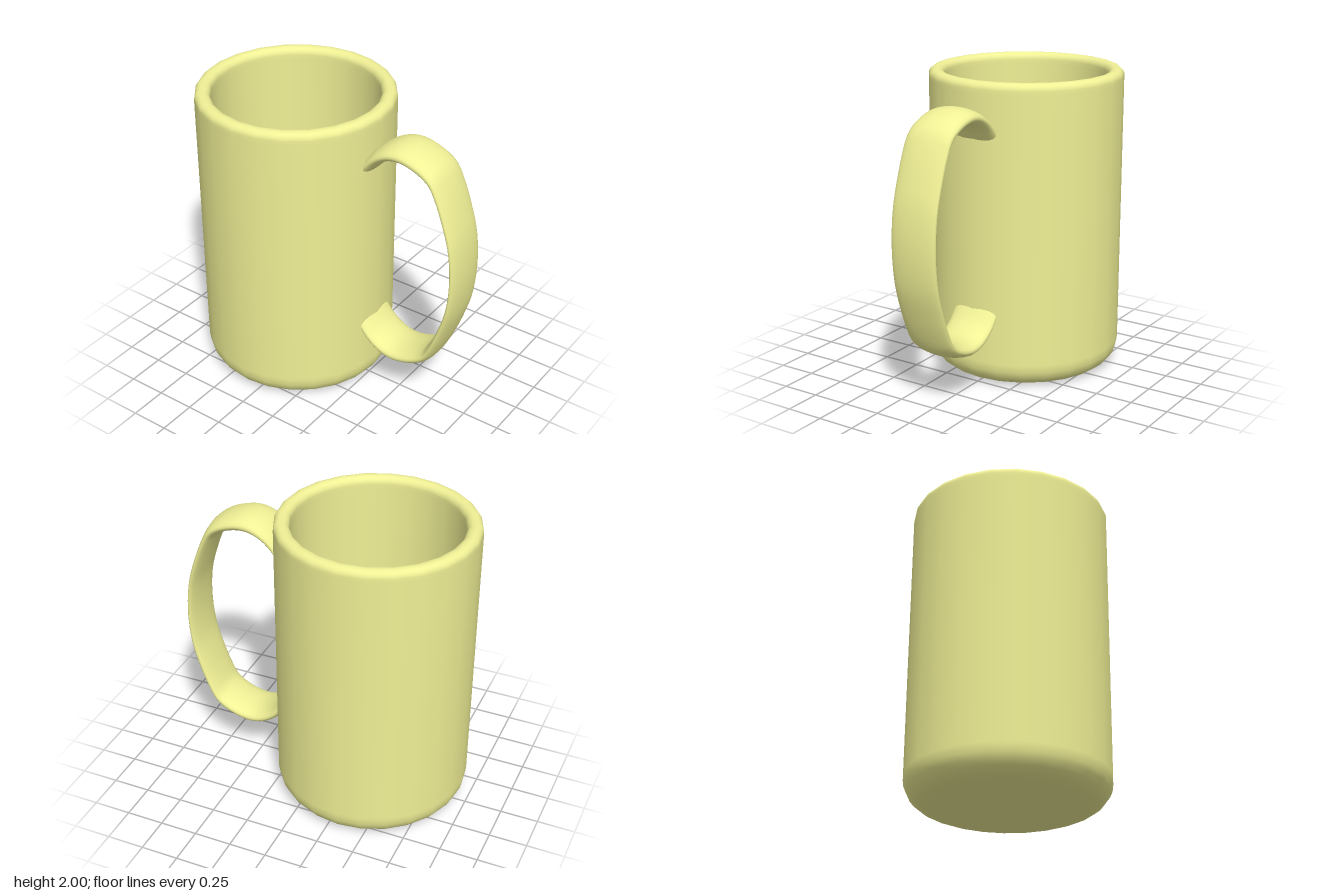
import * as THREE from 'three';

const material = new THREE.MeshStandardMaterial({ color: 0xf0f096, side: THREE.DoubleSide });

// Quarter-round points for a lathe profile, from angle a to angle b (degrees)
function arc(cx, cy, r, a, b, steps = 6) {
  return Array.from({ length: steps + 1 }, (_, i) => {
    const t = THREE.MathUtils.degToRad(a + ((b - a) * i) / steps);
    return new THREE.Vector2(cx + r * Math.cos(t), cy + r * Math.sin(t));
  });
}

// Hollow body: underside, outer wall, rounded lip, inner wall and floor
function createBody() {
  const p = (x, y) => new THREE.Vector2(x, y);
  const profile = [
    p(0, 0), p(0.46, 0),
    ...arc(0.485, 0.15, 0.15, -90, 0),
    p(0.635, 0.17), p(0.635, 1.93),
    ...arc(0.59, 1.955, 0.045, 0, 90, 5),
    ...arc(0.58, 1.955, 0.045, 90, 180, 5),
    p(0.535, 1.93), p(0.535, 0.24),
    ...arc(0.435, 0.22, 0.1, 0, -90, 5),
    p(0.41, 0.12), p(0, 0.12),
  ];
  const body = new THREE.Mesh(new THREE.LatheGeometry(profile, 24), material);
  body.name = 'body';
  body.position.x = -0.33;
  return body;
}

// Handle: a nearly circular tube stretched into a tall, wide band
function createHandle() {
  const upper = [[129, 1], [115, 1], [102, 1], [90, 1], [76, 1.005], [63, 1.03],
    [56, 1.04], [48, 1.02], [35, 0.995], [18, 1]];
  const lower = upper.map(([a, r]) => [-a, r]).reverse();
  const points = [...upper, [0, 1], ...lower].map(([a, r]) => {
    const t = THREE.MathUtils.degToRad(a);
    return new THREE.Vector3(r * Math.cos(t), r * Math.sin(t), 0);
  });
  const geometry = new THREE.TubeGeometry(new THREE.CatmullRomCurve3(points), 64, 0.075, 24);
  geometry.scale(0.41, 0.74, 0.162 / 0.075);
  const handle = new THREE.Mesh(geometry, material);
  handle.name = 'handle';
  handle.position.set(0.52, 1.085, -0.005);
  return handle;
}

export function createModel() {
  const mug = new THREE.Group();
  mug.name = 'mug';
  mug.add(createBody(), createHandle());
  return mug;
}
